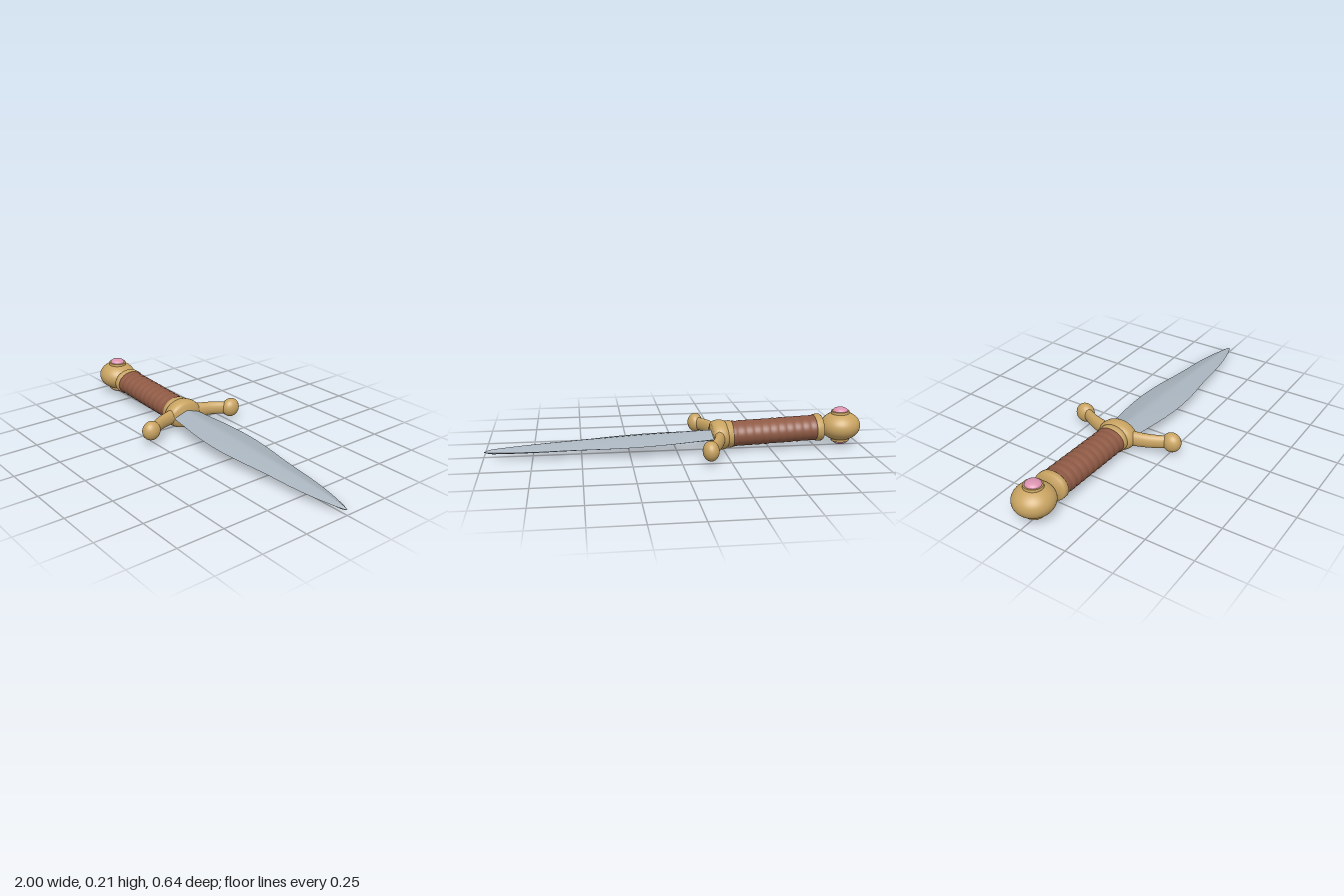
import * as THREE from 'three';
import { toCreasedNormals } from 'three/addons/utils/BufferGeometryUtils.js';

const paint = (name, color) => {
  const m = new THREE.MeshStandardMaterial({ color });
  m.name = name;
  return m;
};

// Crease at a larger scale, so that small details are not merged
function crease(geo, angle) {
  return toCreasedNormals(geo.scale(100, 100, 100), angle).scale(0.01, 0.01, 0.01);
}

// Skin rings of points, each ring counterclockwise seen from the far end
function loft(rings) {
  const n = rings[0].length, pos = [], index = [];
  rings.forEach(r => r.forEach(p => pos.push(p.x, p.y, p.z)));
  for (let i = 0; i < rings.length - 1; i++) {
    for (let j = 0; j < n; j++) {
      const a = i * n + j, b = i * n + (j + 1) % n;
      index.push(a, b, a + n, b, b + n, a + n);
    }
  }
  const geo = new THREE.BufferGeometry();
  geo.setAttribute('position', new THREE.Float32BufferAttribute(pos, 3));
  geo.setIndex(index);
  geo.computeVertexNormals();
  return geo;
}

// Turned part along x: profile of [x, radius], given an oval section
function turned(profile, ry, rz, angle = 0.6) {
  const geo = new THREE.LatheGeometry(profile.map(([x, r]) => new THREE.Vector2(r, x)), 48);
  geo.rotateZ(-Math.PI / 2).scale(1, ry, rz);
  return crease(geo, angle);
}

function bladeGeometry() {
  // Stations: x, half width, half thickness
  const spine = new THREE.CatmullRomCurve3([
    [-0.23, 0.08, 0.029], [-0.1, 0.095, 0.029], [0.05, 0.113, 0.029], [0.2, 0.119, 0.029],
    [0.35, 0.109, 0.028], [0.5, 0.089, 0.027], [0.6, 0.078, 0.025], [0.7, 0.069, 0.023],
    [0.8, 0.055, 0.02], [0.9, 0.034, 0.016], [0.97, 0.014, 0.011], [1, 0.001, 0.001],
  ].map(p => new THREE.Vector3(...p)));
  const quarter = [[1, 0], [0.85, 0.2], [0.5, 0.57], [0.18, 0.9]];
  const section = [
    ...quarter.map(([z, y]) => [-z, y]), [0, 1],
    ...quarter.slice(1).reverse(), [1, 0],
    ...quarter.slice(1).map(([z, y]) => [z, -y]), [0, -1],
    ...quarter.slice(1).reverse().map(([z, y]) => [-z, -y]),
  ];
  const rings = spine.getPoints(66).map(s =>
    section.map(([z, y]) => new THREE.Vector3(s.x, y * s.z, z * s.y)));
  return crease(loft(rings), 0.9);
}

function armGeometry(side) {
  const path = new THREE.CatmullRomCurve3([
    [-0.228, 0.03], [-0.216, 0.09], [-0.19, 0.17], [-0.142, 0.26],
  ].map(([x, z]) => new THREE.Vector3(x, 0, z * side)));
  const up = new THREE.Vector3(0, 1, 0), rings = [];
  for (let i = 0; i <= 20; i++) {
    const t = i / 20, c = path.getPoint(t);
    const across = path.getTangent(t).cross(up);
    const h = THREE.MathUtils.lerp(0.043, 0.034, t), w = THREE.MathUtils.lerp(0.032, 0.022, t);
    rings.push(Array.from({ length: 24 }, (_, j) => {
      const a = j / 24 * Math.PI * 2;
      return c.clone().addScaledVector(up, Math.cos(a) * h).addScaledVector(across, Math.sin(a) * w);
    }));
  }
  return loft(rings);
}

export function createModel() {
  const gold = paint('gold', 0xc9a462);
  const leather = paint('brown leather', 0x8f5a45);
  const steel = paint('steel', 0xa9b4be);
  const pink = paint('pink gem', 0xdb93b0);

  const model = new THREE.Group();
  model.name = 'dagger';
  const body = new THREE.Group();
  body.name = 'restingDagger';
  body.position.y = 0.071;
  body.rotation.set(-0.01, 0, -0.0413);
  model.add(body);

  const add = (name, geo, mat, parent = body) => {
    const m = new THREE.Mesh(geo, mat);
    m.name = name;
    parent.add(m);
    return m;
  };

  add('blade', bladeGeometry(), steel);

  // Grip with wrapped ridges
  const ridges = [], x0 = -0.76, x1 = -0.28, turns = 11;
  for (let i = 0; i <= turns * 8; i++) {
    const t = i / (turns * 8);
    ridges.push([x0 + (x1 - x0) * t, 0.955 + 0.045 * Math.abs(Math.sin(t * turns * Math.PI))]);
  }
  add('grip', turned(ridges, 0.067, 0.083, 1.2), leather);

  // Collars at both ends of the grip
  const collar = (name, a, b, ry, rz) => add(name, turned([
    [a, 0], [a, 0.93], [a + 0.006, 1], [b - 0.006, 1], [b, 0.93], [b, 0],
  ], ry, rz, 0.9), gold);
  collar('pommelCollar', -0.784, -0.745, 0.071, 0.088);
  collar('guardCollar', -0.298, -0.258, 0.071, 0.086);

  // Guard: rounded centre, two curved arms with ball ends
  add('guardCentre', turned([
    [-0.268, 0], [-0.268, 0.84], [-0.258, 0.93], [-0.243, 0.985], [-0.225, 1],
    [-0.208, 0.975], [-0.195, 0.91], [-0.187, 0.8], [-0.184, 0],
  ], 0.078, 0.104, 0.9), gold);
  for (const side of [1, -1]) {
    const label = side > 0 ? 'front' : 'back';
    add(label + 'GuardArm', armGeometry(side), gold);
    const ball = add(label + 'GuardBall', new THREE.SphereGeometry(1, 32, 20), gold);
    ball.scale.set(0.042, 0.052, 0.051);
    ball.position.set(-0.14, 0, 0.267 * side);
  }

  // Pommel with a set gem above and below
  const pommel = new THREE.Group();
  pommel.name = 'pommel';
  pommel.position.x = -0.893;
  body.add(pommel);
  add('pommelBall', new THREE.SphereGeometry(1, 40, 28), gold, pommel).scale.set(0.107, 0.078, 0.104);
  for (const side of [1, -1]) {
    const setting = new THREE.Group();
    setting.name = side > 0 ? 'upperSetting' : 'lowerSetting';
    setting.rotation.x = side > 0 ? 0 : Math.PI;
    pommel.add(setting);
    add('bezel', new THREE.CylinderGeometry(0.048, 0.051, 0.03, 40), gold, setting).position.y = 0.067;
    const gem = add('gem', new THREE.SphereGeometry(1, 32, 12, 0, Math.PI * 2, 0, Math.PI / 2), pink, setting);
    gem.scale.set(0.041, 0.021, 0.041);
    gem.position.y = 0.0815;
  }
  return model;
}
